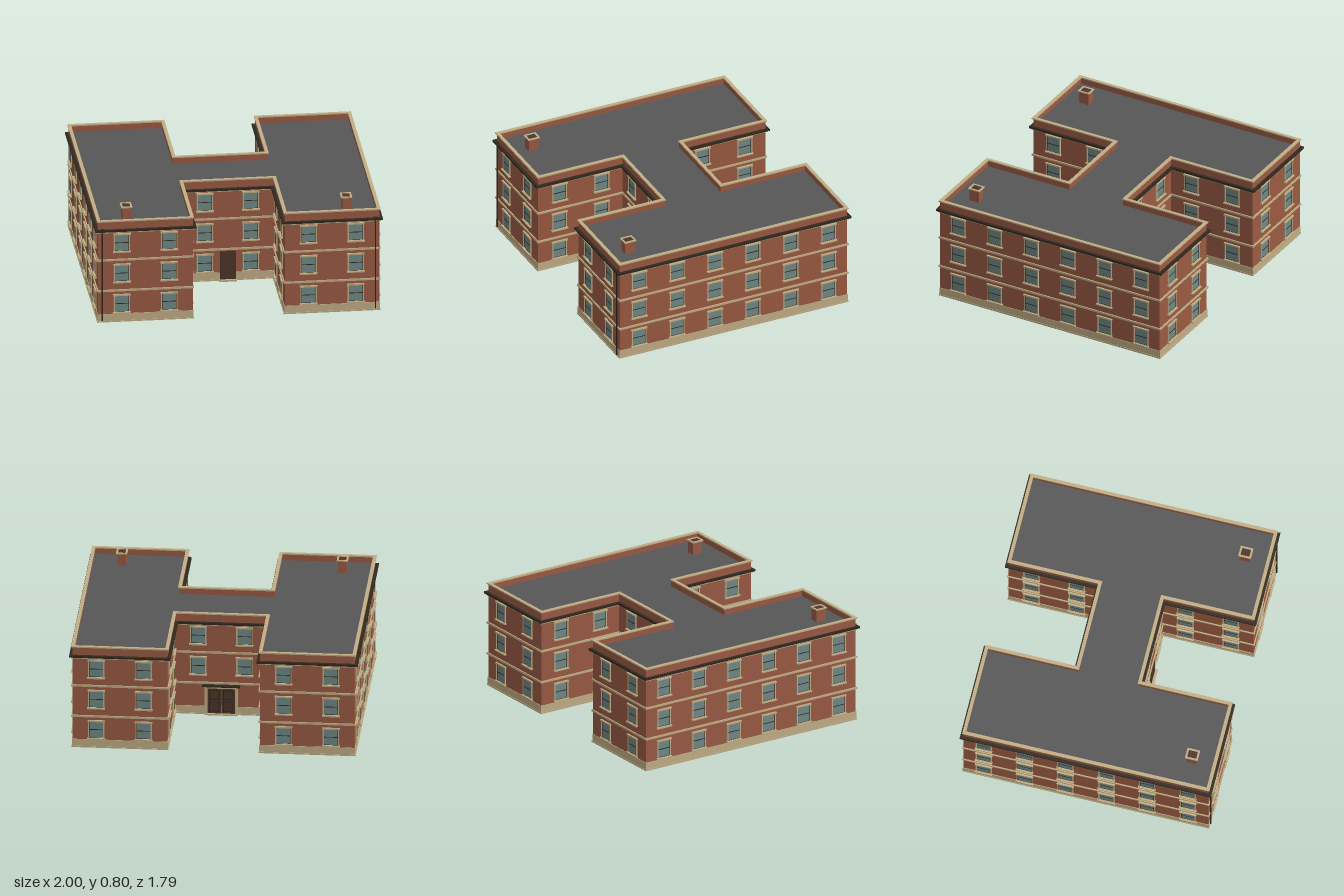
import * as THREE from 'three';

const std = (name, color) => Object.assign(new THREE.MeshStandardMaterial({ color }), { name });
const brick = std('red brick', 0x9a5a42);
const stone = std('cream stone', 0xc2ae86);
const felt = std('grey roof', 0x565656);
const glass = std('window glass', 0x708a87);
const iron = std('dark iron', 0x30281f);
const wood = std('dark brown wood', 0x4d3529);

// Plan of the H: outer half width, inner half width, half depth, connector half depth
const HX = 0.978, IX = 0.32, HZ = 0.872, CZ = 0.225;

function plan(d, Type = THREE.Shape) {
  const X = HX + d, I = IX - d, Z = HZ + d, C = CZ + d;
  const pts = [[X, -Z], [X, Z], [I, Z], [I, C], [-I, C], [-I, Z],
    [-X, Z], [-X, -Z], [-I, -Z], [-I, -C], [I, -C], [I, -Z]];
  return new Type(pts.map(([x, y]) => new THREE.Vector2(x, y)));
}

function add(parent, name, geo, mat, x = 0, y = 0, z = 0) {
  const m = new THREE.Mesh(geo, mat);
  m.name = name;
  m.position.set(x, y, z);
  parent.add(m);
  return m;
}

const box = (w, h, d) => new THREE.BoxGeometry(w, h, d);

// Horizontal layer following the H plan, optionally hollow
function layer(parent, name, y0, y1, out, mat, inner) {
  const s = plan(out);
  if (inner !== undefined) s.holes.push(plan(inner, THREE.Path));
  const g = new THREE.ExtrudeGeometry(s, { depth: y1 - y0, bevelEnabled: false });
  g.rotateX(-Math.PI / 2);
  return add(parent, name, g, mat, 0, y0, 0);
}

// Rectangular ring standing in the xy plane
function ring(w, h, t, depth) {
  const rect = (T, a, b) => new T([[-a, -b], [a, -b], [a, b], [-a, b]].map(p => new THREE.Vector2(...p)));
  const s = rect(THREE.Shape, w / 2, h / 2);
  s.holes.push(rect(THREE.Path, w / 2 - t, h / 2 - t));
  return new THREE.ExtrudeGeometry(s, { depth, bevelEnabled: false });
}

const geos = {
  frame: ring(0.114, 0.134, 0.008, 0.008),
  sash: ring(0.1, 0.12, 0.003, 0.004),
  pane: box(0.1, 0.12, 0.004),
  bar: box(0.1, 0.005, 0.004),
  lintel: box(0.122, 0.011, 0.013),
  sill: box(0.124, 0.009, 0.018)
};

function makeWindow() {
  const g = new THREE.Group();
  g.name = 'window';
  add(g, 'windowFrame', geos.frame, stone);
  add(g, 'windowSash', geos.sash, iron);
  add(g, 'windowPane', geos.pane, glass);
  add(g, 'windowBar', geos.bar, iron, 0, 0, 0.002);
  add(g, 'windowLintel', geos.lintel, stone, 0, 0.065, 0.0065);
  add(g, 'windowSill', geos.sill, stone, 0, -0.066, 0.009);
  return g;
}

// Evenly spaced windows on one wall, three storeys
function windowWall(parent, name, x, z, turn, length, n, firstFloor = 0) {
  const g = new THREE.Group();
  g.name = name;
  g.position.set(x, 0, z);
  g.rotation.y = turn;
  for (let f = firstFloor; f < 3; f++) {
    for (let i = 0; i < n; i++) {
      const w = makeWindow();
      w.position.set((i + 0.5 - n / 2) * length / n, 0.135 + f * 0.2275, 0);
      g.add(w);
    }
  }
  parent.add(g);
}

export function createModel() {
  const model = new THREE.Group();
  model.name = 'building';

  // Body, from the ground up
  layer(model, 'plinth', 0, 0.06, 0.004, stone);
  layer(model, 'baseLedge', 0, 0.01, 0.007, stone, -0.02);
  layer(model, 'walls', 0.05, 0.7, 0, brick);
  for (const y of [0.227, 0.456]) layer(model, 'stringCourse', y, y + 0.014, 0.008, stone, -0.01);
  layer(model, 'cornice', 0.668, 0.678, 0.011, stone, -0.01);
  layer(model, 'gutter', 0.678, 0.692, 0.022, iron, -0.01);
  layer(model, 'roof', 0.695, 0.705, -0.005, felt);
  layer(model, 'parapet', 0.69, 0.75, 0, brick, -0.011);
  layer(model, 'coping', 0.748, 0.757, 0.008, stone, -0.016);

  // Windows
  for (const sx of [1, -1]) {
    windowWall(model, 'outerWindows', sx * HX, 0, sx * Math.PI / 2, 2 * HZ, 6);
    for (const sz of [1, -1]) {
      const turn = sz > 0 ? 0 : Math.PI;
      windowWall(model, 'endWindows', sx * (HX + IX) / 2, sz * HZ, turn, HX - IX, 2);
      windowWall(model, 'courtWindows', sx * IX, sz * (HZ + CZ) / 2, -sx * Math.PI / 2, HZ - CZ, 2);
    }
  }
  windowWall(model, 'frontLinkWindows', 0, CZ, 0, 2 * IX, 2);
  windowWall(model, 'backLinkWindows', 0, -CZ, Math.PI, 2 * IX, 2, 1);

  // Plain front door
  add(model, 'frontDoor', box(0.108, 0.208, 0.014), wood, 0, 0.116, CZ + 0.005);
  add(model, 'frontStep', box(0.124, 0.012, 0.03), stone, 0, 0.006, CZ + 0.015);

  // Panelled double door at the back with surround and canopy
  const entry = new THREE.Group();
  entry.name = 'backEntrance';
  entry.position.z = -CZ;
  entry.rotation.y = Math.PI;
  for (const s of [1, -1]) {
    add(entry, 'doorLeaf', box(0.094, 0.19, 0.012), wood, s * 0.048, 0.105, 0.004);
    add(entry, 'doorPilaster', box(0.018, 0.2, 0.02), stone, s * 0.106, 0.1, 0.01);
    for (const y of [0.06, 0.148]) {
      add(entry, 'doorPanel', ring(0.07, 0.074, 0.006, 0.004), iron, s * 0.048, y, 0.009);
    }
  }
  add(entry, 'doorLintel', box(0.23, 0.012, 0.022), stone, 0, 0.206, 0.011);
  add(entry, 'doorCanopy', box(0.262, 0.012, 0.03), iron, 0, 0.218, 0.015);
  add(entry, 'backStep', box(0.23, 0.01, 0.026), stone, 0, 0.005, 0.013);
  model.add(entry);

  for (const s of [1, -1]) {
    // Chimneys on the front of each wing
    const chimney = new THREE.Group();
    chimney.name = 'chimney';
    chimney.position.set(s * 0.765, 0, 0.706);
    add(chimney, 'chimneyStack', box(0.06, 0.1, 0.074), brick, 0, 0.745, 0);
    const cap = ring(0.078, 0.09, 0.013, 0.008);
    cap.rotateX(-Math.PI / 2);
    add(chimney, 'chimneyCap', cap, stone, 0, 0.793, 0);
    add(chimney, 'chimneyFlue', box(0.052, 0.004, 0.064), wood, 0, 0.795, 0);
    model.add(chimney);

    // Drainpipes at the front corners
    const pipe = new THREE.Group();
    pipe.name = 'drainpipe';
    pipe.position.set(s * 0.95, 0, HZ + 0.009);
    add(pipe, 'downpipe', new THREE.CylinderGeometry(0.005, 0.005, 0.67, 8), iron, 0, 0.35, 0);
    add(pipe, 'hopper', box(0.026, 0.022, 0.018), iron, 0, 0.688, 0);
    model.add(pipe);
  }
  return model;
}
